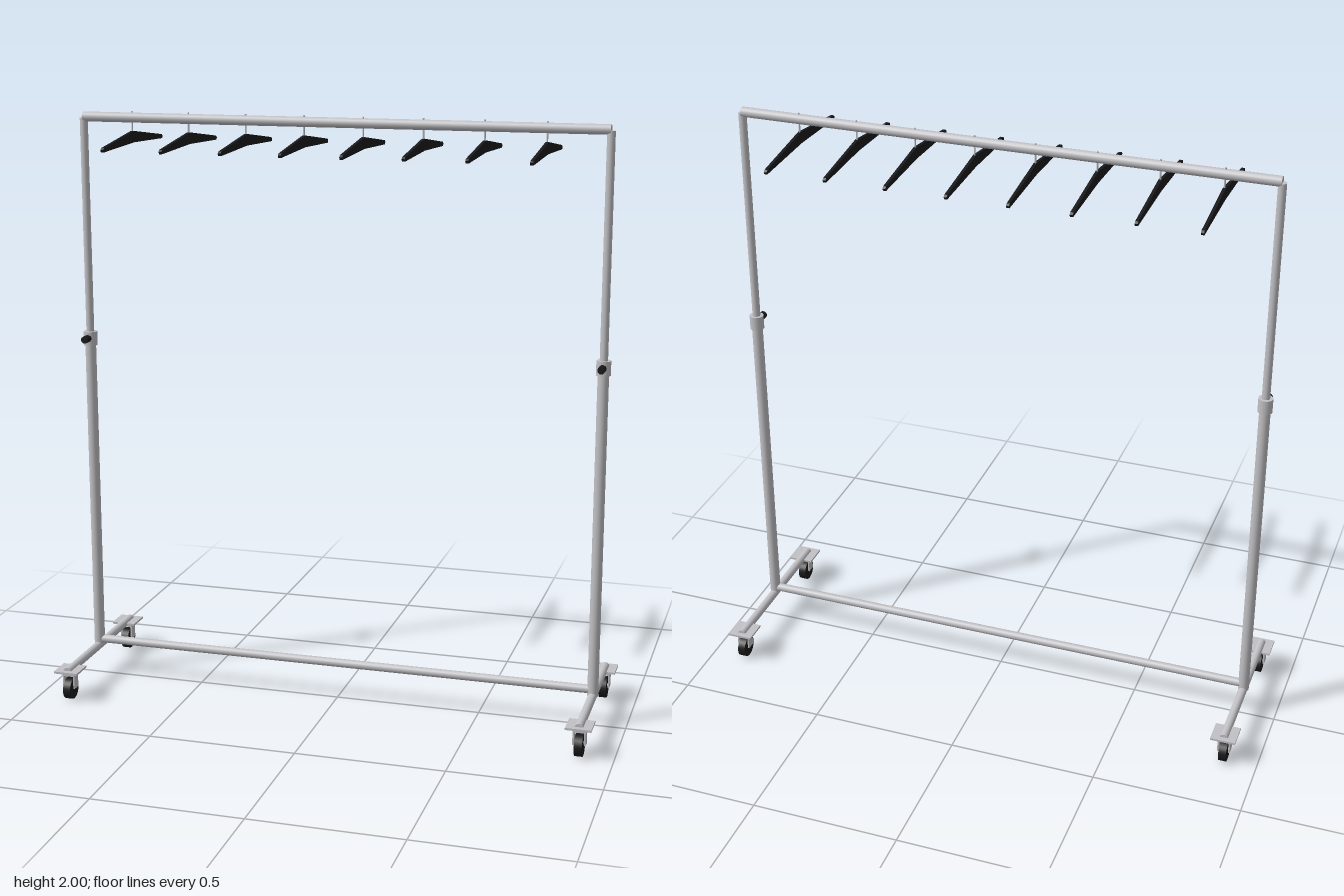
import * as THREE from 'three';

const metal = new THREE.MeshStandardMaterial({ color: 0xc2c2c6 });
metal.name = 'brushed metal';
const black = new THREE.MeshStandardMaterial({ color: 0x1a1a1c });
black.name = 'black plastic';

function add(parent, name, geometry, material, x = 0, y = 0, z = 0) {
  const mesh = new THREE.Mesh(geometry, material);
  mesh.name = name;
  mesh.position.set(x, y, z);
  parent.add(mesh);
  return mesh;
}

// Round bar of a given length along one axis
function rod(radius, length, axis = 'y', sides = 20) {
  const g = new THREE.CylinderGeometry(radius, radius, length, sides);
  if (axis === 'x') g.rotateZ(Math.PI / 2);
  if (axis === 'z') g.rotateX(Math.PI / 2);
  return g;
}

// Mounting plate, fork and wheel
function caster() {
  const g = new THREE.Group();
  g.name = 'caster';
  add(g, 'mountingPlate', new THREE.BoxGeometry(0.085, 0.007, 0.085), metal, 0, 0.104, 0);
  add(g, 'forkBridge', new THREE.BoxGeometry(0.042, 0.012, 0.032), metal, 0, 0.09, 0);
  for (const s of [-1, 1]) {
    add(g, 'forkCheek', new THREE.BoxGeometry(0.005, 0.06, 0.032), metal, s * 0.019, 0.07, 0);
  }
  add(g, 'wheel', rod(0.037, 0.026, 'x', 28), black, 0, 0.037, 0);
  add(g, 'axle', rod(0.006, 0.04, 'x', 12), metal, 0, 0.045, 0);
  return g;
}

// Flat sloping shoulders with a thin stem through the rail
function hanger() {
  const g = new THREE.Group();
  g.name = 'hanger';
  const shape = new THREE.Shape([
    [0, 1.935], [-0.255, 1.902], [-0.262, 1.896], [-0.258, 1.888], [0, 1.897],
    [0.258, 1.888], [0.262, 1.896], [0.255, 1.902],
  ].map(([z, y]) => new THREE.Vector2(z, y)));
  const body = new THREE.ExtrudeGeometry(shape, { depth: 0.01, bevelEnabled: false });
  body.translate(0, 0, -0.005).rotateY(Math.PI / 2);
  add(g, 'shoulders', body, black);
  add(g, 'stem', rod(0.003, 0.08, 'y', 8), metal, 0, 1.96, 0);
  return g;
}

export function createModel() {
  const model = new THREE.Group();
  model.name = 'garmentRack';
  const postX = 0.886;

  // Horizontal rails
  add(model, 'topRail', rod(0.0165, postX * 2, 'x'), metal, 0, 1.979, 0);
  add(model, 'bottomRail', rod(0.0145, postX * 2, 'x'), metal, 0, 0.127, 0);

  // Telescopic side frames on casters
  for (const s of [-1, 1]) {
    const side = new THREE.Group();
    side.name = s > 0 ? 'leftSide' : 'rightSide';
    side.position.x = s * postX;
    add(side, 'lowerPost', rod(0.0185, 1.12), metal, 0, 0.665, 0);
    add(side, 'upperPost', rod(0.0135, 0.775), metal, 0, 1.5875, 0);
    add(side, 'collar', rod(0.024, 0.048), metal, 0, 1.222, 0);
    add(side, 'clampKnob', rod(0.0125, 0.032, 'z', 16), black, 0, 1.224, 0.037);
    add(side, 'foot', rod(0.0145, 0.572, 'z'), metal, 0, 0.104, 0);
    for (const z of [-0.262, 0.262]) {
      const c = caster();
      c.position.z = z;
      side.add(c);
    }
    model.add(side);
  }

  // Row of hangers
  for (let i = 0; i < 8; i++) {
    const h = hanger();
    h.position.x = -0.712 + i * 0.1996;
    model.add(h);
  }
  return model;
}
